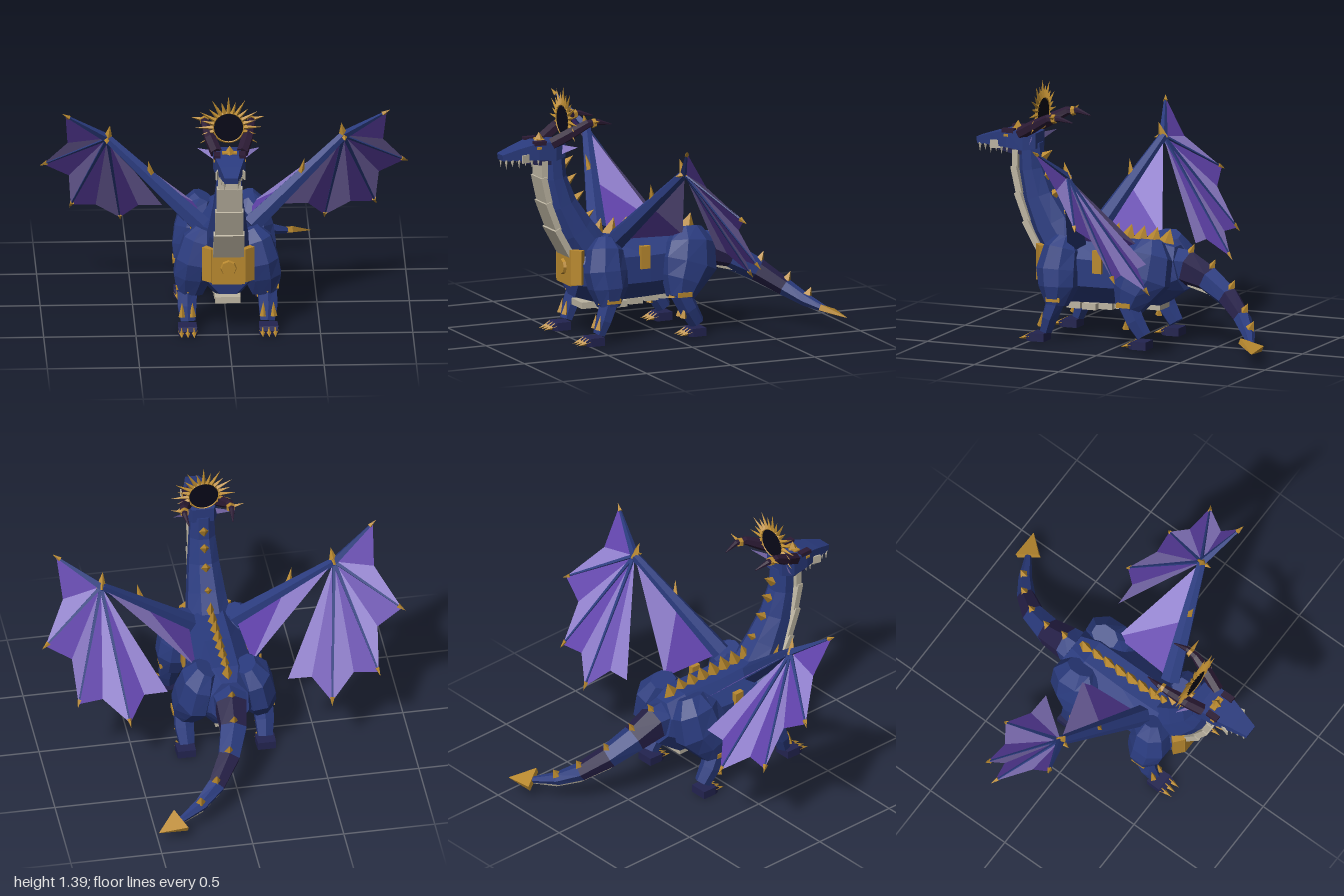
import * as THREE from 'three';

const mat = (name, color) => {
  const m = new THREE.MeshStandardMaterial({ color });
  m.name = name;
  return m;
};
const V = (x, y, z) => new THREE.Vector3(x, y, z);

export function createModel() {
  const blue = mat('blue scales', 0x2a3b7e);
  const navy = mat('navy', 0x232450);
  const plum = mat('dark plum', 0x262048);
  const gold = mat('gold', 0xb9892f);
  const cream = mat('cream', 0xbdb5a2);
  const horn = mat('horn', 0x2c1b35);
  const black = mat('black', 0x080818);
  const lilac = mat('light lilac', 0x8d7cc9);
  const purple = mat('purple', 0x6042aa);
  lilac.side = purple.side = THREE.DoubleSide;

  const root = new THREE.Group();
  root.name = 'dragon';

  const add = (name, geo, material, parent = root) => {
    const g = geo.index ? geo.toNonIndexed() : geo;
    g.computeVertexNormals();
    const m = new THREE.Mesh(g, material);
    m.name = name;
    parent.add(m);
    return m;
  };

  // Faceted loft through sections [x, y, z, rx, ry], ring planes square to the path
  const loft = (name, secs, sides, material, parent = root, pick = null) => {
    const c = secs.map(s => V(s[0], s[1], s[2]));
    const rings = secs.map((s, i) => {
      const t = c[Math.min(i + 1, c.length - 1)].clone().sub(c[Math.max(i - 1, 0)]).normalize();
      const n = V(1, 0, 0).addScaledVector(t, -t.x).normalize();
      const u = t.clone().cross(n);
      return Array.from({ length: sides }, (_, k) => {
        const a = (k + 0.5) / sides * Math.PI * 2;
        return c[i].clone().addScaledVector(n, Math.cos(a) * s[3]).addScaledVector(u, Math.sin(a) * (s[4] ?? s[3]));
      });
    });
    const pts = [], last = rings.length - 1;
    const geo = new THREE.BufferGeometry();
    for (let i = 0; i < last; i++) {
      const start = pts.length;
      for (let k = 0; k < sides; k++) {
        const j = (k + 1) % sides;
        const [a, b, d, e] = [rings[i][k], rings[i][j], rings[i + 1][j], rings[i + 1][k]];
        pts.push(a, b, d, a, d, e);
        if (i === 0) pts.push(c[0], b, a);
        if (i === last - 1) pts.push(c[last], e, d);
      }
      if (pick) geo.addGroup(start, pts.length - start, pick(i));
    }
    geo.setFromPoints(pts);
    return add(name, geo, material, parent);
  };

  const box = (name, w, h, d, x, y, z, material, parent = root) => {
    const m = add(name, new THREE.BoxGeometry(w, h, d), material, parent);
    m.position.set(x, y, z);
    return m;
  };

  // Pointed cone standing on a base point
  const spike = (name, base, dir, len, r, material = gold, parent = root) => {
    const m = add(name, new THREE.ConeGeometry(r, len, 4).translate(0, len / 2, 0), material, parent);
    m.position.copy(base);
    m.quaternion.setFromUnitVectors(V(0, 1, 0), dir.clone().normalize());
    return m;
  };

  const panel = (name, a, b, c, material, parent) =>
    add(name, new THREE.BufferGeometry().setFromPoints([a, b, c]), material, parent);

  // Torso and neck
  loft('torso', [[0, .42, -.29, .11, .13], [0, .39, -.17, .18, .19], [0, .38, .1, .19, .19],
    [0, .38, .38, .18, .2], [0, .36, .51, .12, .14]], 8, blue);
  loft('neck', [[0, .38, .33, .14, .13], [0, .48, .4, .13, .125], [0, .6, .485, .11, .115],
    [0, .75, .56, .09, .09], [0, .9, .6, .075, .072], [0, 1.04, .61, .07, .068]], 8, blue);

  // Throat and belly plates
  const throat = [[1.0, .675], [.91, .68], [.77, .655], [.62, .605], [.47, .53]];
  for (let i = 0; i < 4; i++) {
    const [y0, z0] = throat[i], [y1, z1] = throat[i + 1];
    const p = box('throatPlate', .125 + i * .014, Math.hypot(y0 - y1, z0 - z1) + .01, .035,
      0, (y0 + y1) / 2, (z0 + z1) / 2, cream);
    p.rotation.x = Math.atan2(z0 - z1, y0 - y1) + .05;
  }
  for (let i = 0; i < 7; i++)
    box('bellyPlate', .15 - Math.abs(i - 2) * .006, .035, .08, 0, [.185, .178, .176, .185, .194, .199, .203][i], .42 - i * .094, cream);

  // Chest armour and flank plates
  box('chestPlate', .18, .2, .05, 0, .405, .515, gold);
  const boss = add('chestBoss', new THREE.CylinderGeometry(.04, .047, .02, 8), gold);
  boss.rotation.x = Math.PI / 2;
  boss.position.set(0, .4, .545);
  for (const s of [1, -1]) {
    box('chestPlateSide', .065, .19, .04, s * .105, .41, .503, gold).rotation.y = s * .7;
    box('flankPlate', .03, .125, .055, s * .178, .448, .135, gold);
  }

  // Spines along neck, back and tail
  for (const [y, z] of [[.96, .545], [.86, .525], [.76, .48], [.65, .42]])
    spike('neckSpine', V(0, y, z), V(0, .6, -.8), .08, .03);
  for (let i = 0; i < 8; i++)
    spike('backSpine', V(0, .548, .345 - i * .077), V(0, 1, -.3), .105 - i * .003, .05).scale.x = .62;

  // Tail with darker bands, pale underside and flat arrow tip
  const tail = [[0, .42, -.24, .11, .11], [0, .42, -.32, .095, .1], [.01, .37, -.45, .08, .075],
    [.06, .29, -.59, .066, .062], [.15, .2, -.71, .052, .048], [.25, .14, -.79, .038, .035], [.38, .1, -.865, .016, .016]];
  loft('tail', tail, 6, [blue, plum], root, i => (i === 1 || i === 3 ? 1 : 0));
  loft('tailUnderside', tail.slice(1).map(([x, y, z, r]) => [x, y - r * .8, z - r * .2, r * .5, r * .28]), 4, cream);
  for (let i = 1; i < 6; i++) {
    const [x, y, z, , r] = tail[i];
    spike('tailSpine', V(x, y + r * .75, z - .01), V(0, 1, -.5), .075 - i * .005, .027);
  }
  loft('tailTip', [[.37, .105, -.86, .095, .024], [.5, .08, -.92, .002, .002]], 4, gold);

  // Head
  const head = new THREE.Group();
  head.name = 'head';
  root.add(head);
  loft('skull', [[0, 1.06, .555, .085, .06], [0, 1.06, .62, .125, .075], [0, 1.065, .72, .118, .066],
    [0, 1.052, .82, .082, .046], [0, 1.037, .915, .052, .024]], 4, blue, head);
  loft('lowerJaw', [[0, 1.0, .58, .09, .03], [0, 1.0, .7, .085, .024], [0, 1.01, .8, .06, .012]], 4, navy, head);
  box('browBand', .08, .02, .035, 0, 1.11, .685, gold, head);
  spike('browSpike', V(0, 1.11, .685), V(0, 1, 0), .048, .032, gold, head);
  for (const s of [1, -1]) {
    box('brow', .035, .022, .07, s * .068, 1.11, .71, horn, head);
    box('eye', .006, .014, .025, s * .085, 1.085, .72, gold, head);
    box('cheekPlate', .008, .045, .068, s * .069, 1.03, .785, cream, head).rotation.y = s * .26;
    for (let i = 0; i < 6; i++)
      spike('tooth', V(s * (.036 + i * .007), 1.025, .895 - i * .035), V(0, -1, 0), i % 2 ? .04 : .052, .01, cream, head);
    panel('earFin', V(s * .07, 1.088, .575), V(s * .17, 1.09, .53), V(s * .08, 1.04, .585), lilac, head);
    // Horn with gold ring and side spur
    loft('horn', [[s * .07, 1.1, .64, .034], [s * .1, 1.15, .55, .034], [s * .125, 1.205, .45, .024],
      [s * .13, 1.21, .39, .016], [s * .12, 1.19, .31, .003]], 6, horn, head);
    loft('hornRing', [[s * .126, 1.205, .425, .026], [s * .128, 1.208, .405, .024]], 6, gold, head);
    spike('hornSpur', V(s * .13, 1.21, .415), V(s, .25, 0), .075, .014, gold, head);
  }

  // Sunburst crest behind the head
  const crest = new THREE.Group();
  crest.name = 'crest';
  crest.position.set(0, 1.21, .54);
  root.add(crest);
  add('crestRing', new THREE.TorusGeometry(.083, .008, 4, 24), gold, crest);
  add('crestDisc', new THREE.CylinderGeometry(.081, .081, .008, 24).rotateX(Math.PI / 2), black, crest);
  for (let i = 0; i < 17; i++) {
    const a = (-30 + i * 15) * Math.PI / 180, d = V(Math.cos(a), Math.sin(a), 0);
    spike('crestRay', d.clone().multiplyScalar(.083), d, i % 2 ? .07 : .1, .013, gold, crest);
  }

  // Legs: thigh and shin sections, then foot z
  const leg = (name, s, thigh, shin, fz) => {
    const g = new THREE.Group();
    g.name = name;
    root.add(g);
    const side = a => a.map(([x, ...r]) => [s * x, ...r]);
    loft('upperLeg', side(thigh), 8, blue, g);
    loft('lowerLeg', side(shin), 6, blue, g);
    loft('foot', side([[.22, .023, fz - .07, .07, .032], [.22, .023, fz + .01, .074, .032], [.22, .015, fz + .035, .064, .02]]), 4, navy, g);
    for (const o of [-.034, 0, .034])
      spike('claw', V(s * (.22 + o), .026, fz + .015), V(0, -.25, 1), .072, .019, gold, g);
    const [kx, ky, kz, kr] = shin[0];
    spike('kneeGuard', V(s * kx, ky - .02, kz + kr * .8), V(0, 1, .15), .045, .025, gold, g);
    box('kneePlate', .014, .026, .08, s * (kx + kr * .95), ky, kz, gold, g);
    const [mx, my, mz, mr] = shin[1];
    for (const o of [-.028, .028])
      spike('shinSpike', V(s * (mx + o), my - .045, mz + mr * .75), V(0, 1, -.15), .08, .02, gold, g);
  };
  for (const s of [1, -1]) {
    leg('frontLeg', s,
      [[.125, .56, .35, .05, .05], [.15, .5, .36, .095, .1], [.18, .39, .37, .105, .12], [.19, .3, .36, .11, .11], [.205, .2, .365, .075, .06]],
      [[.215, .24, .36, .06, .055], [.22, .13, .4, .058, .045], [.215, .055, .425, .045, .035]], .485);
    leg('hindLeg', s,
      [[.11, .57, -.15, .06, .08], [.145, .5, -.15, .1, .14], [.172, .39, -.13, .105, .165], [.185, .3, -.085, .105, .125], [.205, .21, -.06, .075, .075]],
      [[.215, .24, -.06, .062, .06], [.22, .15, -.105, .058, .055], [.215, .07, -.155, .045, .045]], -.12);
  }

  // Wings: fan of fingers from the wrist with two-tone membrane between
  const wing = s => {
    const g = new THREE.Group();
    g.name = 'wing';
    root.add(g);
    const P = (x, y, z) => V(s * x, y, z);
    const wrist = P(.64, 1, .11), shoulder = P(.13, .55, .28), inner = P(.155, .545, -.1);
    const mid = shoulder.clone().lerp(wrist, .5);
    const bone = (name, a, b, r0, r1, sides) =>
      loft(name, [[...a.toArray(), r0], [...a.clone().lerp(b, .5).toArray(), (r0 + r1) / 2], [...b.toArray(), r1]], sides, blue, g);
    bone('wingArm', shoulder, wrist, .058, .026, 6);
    panel('innerMembrane', wrist, inner, mid, lilac, g);
    panel('innerMembrane', mid, inner, shoulder, purple, g);
    // Tips and scallop notches in turn
    const rim = [P(.87, 1.165, .2), P(.855, .965, .08), P(.98, .785, -.085), P(.84, .705, -.12), P(.825, .49, -.245),
      P(.69, .495, -.23), P(.555, .385, -.325), P(.46, .49, -.225), P(.33, .49, -.22)];
    for (let i = 0; i < rim.length - 1; i++)
      panel('membrane', wrist, rim[i], rim[i + 1], i % 2 ? lilac : purple, g);
    rim.forEach((p, i) => {
      if (i % 2 || i === 8) return;
      bone('finger', wrist, p, i ? .013 : .024, .006, 4);
      const d = p.clone().sub(wrist).normalize();
      spike('fingerClaw', p.clone().addScaledVector(d, -.025), d, .05, .014, gold, g);
    });
    spike('wristClaw', wrist.clone().add(P(0, -.01, 0)), P(-.15, 1, .25), .095, .03, gold, g);
    spike('wristSpur', wrist.clone(), P(.1, -.2, 1), .06, .024, gold, g);
    spike('armClaw', shoulder.clone().lerp(wrist, .53), P(.2, 1, .2), .125, .026, gold, g);
  };
  wing(1);
  wing(-1);

  return root;
}
